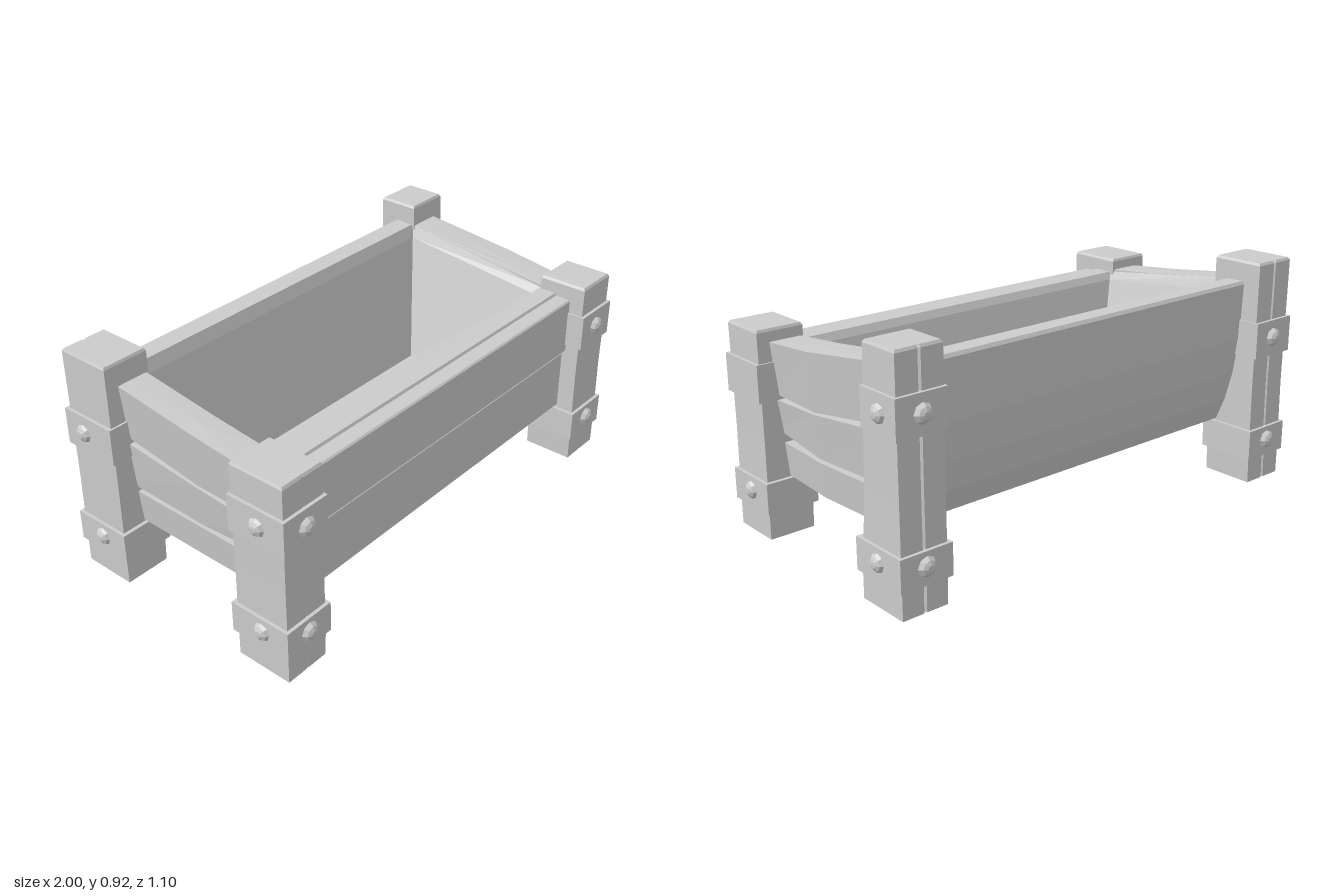
import * as THREE from 'three';

const material = new THREE.MeshStandardMaterial({ color: 0xcccccc, flatShading: true, side: THREE.DoubleSide });

function mesh(name, geometry, parent) {
  const m = new THREE.Mesh(geometry, material);
  m.name = name;
  parent.add(m);
  return m;
}

// Skin a stack of rings (each counter-clockwise seen from above) and cap both ends.
function loft(rings) {
  const out = [];
  const tri = (a, b, c) => out.push(...a, ...b, ...c);
  const n = rings[0].length;
  for (let r = 0; r < rings.length - 1; r++) {
    for (let i = 0; i < n; i++) {
      const j = (i + 1) % n;
      const [a, b, c, d] = [rings[r][i], rings[r][j], rings[r + 1][j], rings[r + 1][i]];
      tri(a, b, c);
      tri(a, c, d);
    }
  }
  const cap = (ring, flip) => {
    const mid = [0, 1, 2].map(k => ring.reduce((s, p) => s + p[k], 0) / n);
    ring.forEach((p, i) => {
      const q = ring[(i + 1) % n];
      flip ? tri(mid, q, p) : tri(mid, p, q);
    });
  };
  cap(rings[0], true);
  cap(rings[rings.length - 1], false);
  const g = new THREE.BufferGeometry();
  g.setAttribute('position', new THREE.Float32BufferAttribute(out, 3));
  g.computeVertexNormals();
  return g;
}

// Rectangle ring, symmetric in x, whose height may differ between front and back.
const rect = (x, zf, zb, yf, yb = yf) =>
  [[-x, yf, zf], [x, yf, zf], [x, yb, zb], [-x, yb, zb]];

// Post cross-section with a fine split in its end face.
function postRing(sx, sz, x0, x1, z0, z1, y, groove) {
  const xm = (x0 + x1) / 2, w = 0.006;
  const ring = [
    [x0, z0], [x1, z0], [x1, z1],
    [xm + w, z1], [xm, z1 - groove], [xm - w, z1],
    [x0, z1],
  ].map(([x, z]) => [sx * x, y, sz * z]);
  return sx * sz > 0 ? ring.reverse() : ring;
}

const boltProfile = [[0, 0], [0.038, 0], [0.038, 0.011], [0.028, 0.026], [0.013, 0.034], [0, 0.035]]
  .map(p => new THREE.Vector2(...p));

function addBolt(parent, axis, sign, x, y, z) {
  const b = mesh('bolt', new THREE.LatheGeometry(boltProfile, 8), parent);
  b.position.set(x, y, z);
  if (axis === 'x') b.rotation.z = -sign * Math.PI / 2;
  else b.rotation.x = sign * Math.PI / 2;
}

function addBand(parent, sx, sz, x0, x1, z0, z1, y0, y1) {
  const b = mesh('band', new THREE.BoxGeometry(x1 - x0, y1 - y0, z1 - z0), parent);
  b.position.set(sx * (x0 + x1) / 2, (y0 + y1) / 2, sz * (z0 + z1) / 2);
}

// Corner post with two bands and their bolts.
function addPost(parent, p) {
  const { name, sx, sz, height, lean, zIn, zOut, upper, sideBolt, groove } = p;
  const post = new THREE.Group();
  post.name = name;
  parent.add(post);

  const ring = (x0, x1, z0, z1, y) => postRing(sx, sz, x0, x1, z0, z1, y, groove);
  mesh('postBody', loft([
    ring(0.785, 0.970, zIn, zOut, 0),
    ring(0.782, 0.970, zIn, zOut, 0.1),
    ring(0.782, 0.968, zIn + lean * 0.5, zOut - 0.003, 0.4),
    ring(0.782, 0.970, zIn + lean, zOut, height - 0.01),
    ring(0.788, 0.965, zIn + lean + 0.005, zOut - 0.006, height),
  ]), post);

  const zl = zOut + 0.012;
  addBand(post, sx, sz, 0.768, 0.982, zIn - 0.015, zl, 0.105, 0.228);
  addBand(post, sx, sz, 0.775, 0.982, zIn + lean - 0.008, zl, upper - 0.075, upper + 0.07);

  for (const y of [0.173, upper]) {
    addBolt(post, 'z', sz, sx * 0.875, y, sz * (zl - 0.01));
    if (y !== upper || sideBolt) {
      const z = sz > 0 ? 0.4 : y === upper ? -0.44 : -0.405;
      addBolt(post, 'x', sx, sx * 0.967, y, z);
    }
  }
}

export function createModel() {
  const model = new THREE.Group();
  model.name = 'woodenTrough';

  // Hollow basin: bowed back, sloping rim, tapered inside
  mesh('basin', loft([
    rect(0.81, 0.37, -0.34, 0.235),
    rect(0.82, 0.37, -0.38, 0.33),
    rect(0.83, 0.37, -0.413, 0.45),
    rect(0.84, 0.37, -0.436, 0.6),
    rect(0.84, 0.38, -0.446, 0.735, 0.825),
    rect(0.84, 0.375, -0.438, 0.745, 0.838),
    rect(0.79, 0.30, -0.36, 0.745, 0.835),
    rect(0.77, 0.285, -0.343, 0.715, 0.785),
    rect(0.63, 0.19, -0.23, 0.3),
  ]), model);

  // Front planks, the upper one overlapping the lower
  const frontPlanks = [
    { name: 'lowerFrontPlank', y0: 0.232, y1: 0.49, z: 0.432 },
    { name: 'upperFrontPlank', y0: 0.495, y1: 0.735, z: 0.446 },
  ];
  for (const { name, y0, y1, z } of frontPlanks) {
    mesh(name, loft([
      rect(0.82, z - 0.01, 0.33, y0),
      rect(0.82, z, 0.33, y0 + 0.01),
      rect(0.82, z, 0.33, y1 - 0.006),
      rect(0.82, z - 0.006, 0.33, y1),
    ]), model);
  }

  // Side planks, heights given at front, middle and back; they lean in towards the bottom
  const sidePlanks = [
    { name: 'lowerSidePlank', low: [0.232, 0.232, 0.235], high: [0.365, 0.367, 0.37], x: [0.868, 0.882] },
    { name: 'middleSidePlank', low: [0.405, 0.382, 0.393], high: [0.53, 0.553, 0.595], x: [0.882, 0.902] },
    { name: 'upperSidePlank', low: [0.55, 0.558, 0.618], high: [0.748, 0.782, 0.838], x: [0.895, 0.918] },
  ];
  for (const s of [-1, 1]) {
    const bow = s > 0 ? 0.02 : 0;
    const ring = (x, y) => {
      const points = [
        [0.79, y[0], 0.36], [x, y[0], 0.36], [x + bow, y[1], 0.04],
        [x, y[2], -0.38], [0.79, y[2], -0.38], [0.79, y[1], 0.04],
      ].map(([px, py, pz]) => [s * px, py, pz]);
      return s > 0 ? points : points.reverse();
    };
    for (const { name, low, high, x } of sidePlanks) {
      mesh(name, loft([ring(x[0], low), ring(x[1], high)]), model);
    }
  }

  // Four corner posts, taller at the back
  const front = { sz: 1, height: 0.803, zOut: 0.508, upper: 0.61, groove: 0.002 };
  const back = { sz: -1, height: 0.92, zIn: 0.3, zOut: 0.52, groove: 0.01 };
  addPost(model, { ...front, name: 'frontLeftPost', sx: 1, zIn: 0.302, lean: 0.005, sideBolt: false });
  addPost(model, { ...front, name: 'frontRightPost', sx: -1, zIn: 0.278, lean: 0, sideBolt: true });
  addPost(model, { ...back, name: 'backLeftPost', sx: 1, lean: 0.05, upper: 0.7, sideBolt: true });
  addPost(model, { ...back, name: 'backRightPost', sx: -1, lean: 0, upper: 0.61, sideBolt: true });

  return model;
}
